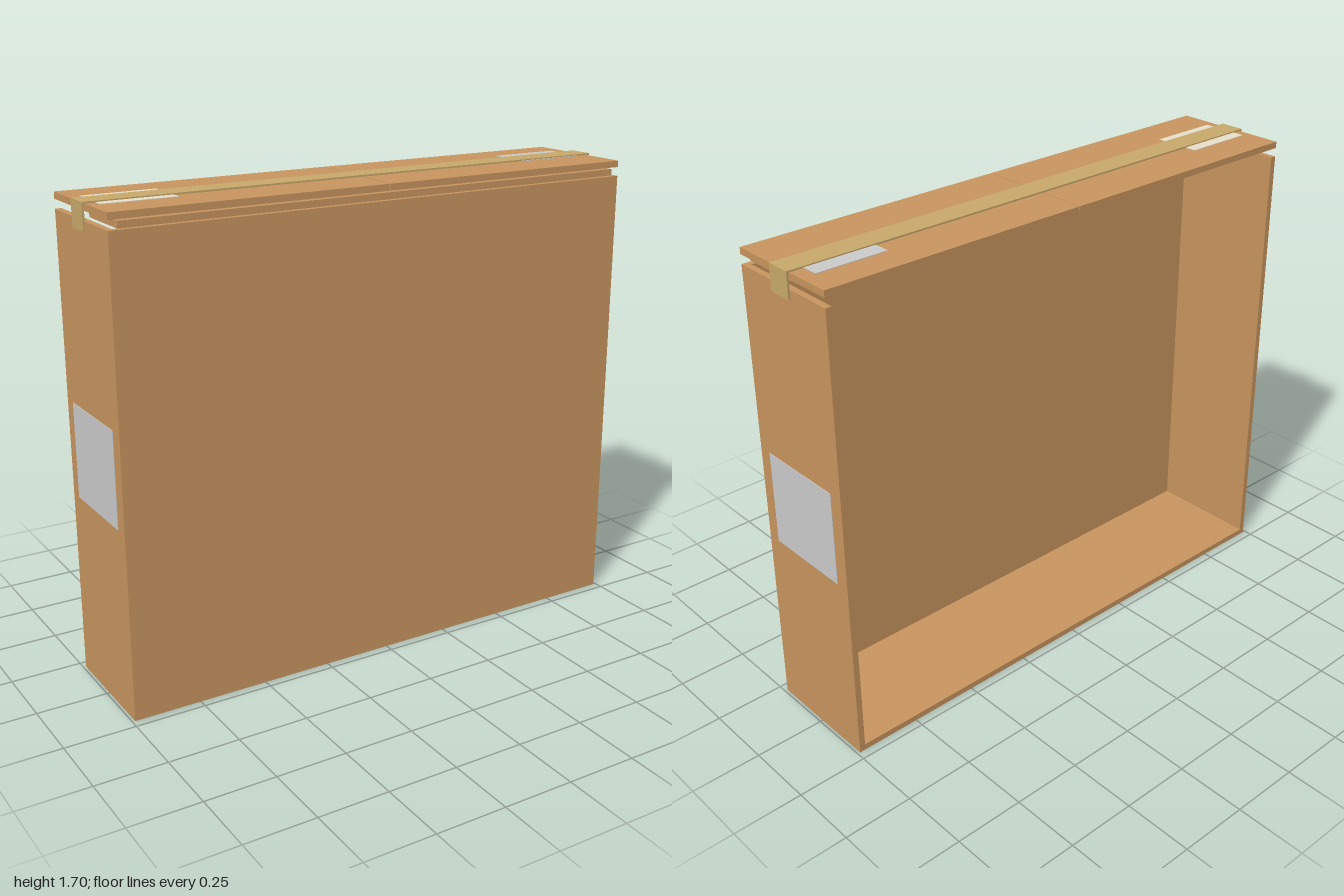
import * as THREE from 'three';

export function createModel() {
  const root = new THREE.Group();
  root.name = 'cardboardBox';

  const card = new THREE.MeshStandardMaterial({ color: 0xc8965f });
  const tape = new THREE.MeshStandardMaterial({ color: 0xc8a96a });
  const paper = new THREE.MeshStandardMaterial({ color: 0xe8e0cc });
  const grey = new THREE.MeshStandardMaterial({ color: 0xcccccc });

  // Box given by its min and max corners
  function slab(name, material, [x0, y0, z0], [x1, y1, z1], parent = root) {
    const mesh = new THREE.Mesh(new THREE.BoxGeometry(x1 - x0, y1 - y0, z1 - z0), material);
    mesh.position.set((x0 + x1) / 2, (y0 + y1) / 2, (z0 + z1) / 2);
    mesh.name = name;
    parent.add(mesh);
    return mesh;
  }

  const X = 0.99, Z = 0.218, T = 0.022, WALL = 1.635;
  const FLAP = 1.667, TOP = 1.69;

  // Carton body, open at the back
  slab('bottomPanel', card, [-X, 0, -Z], [X, T, Z]);
  slab('frontPanel', card, [-X, T, Z - T], [X, WALL, Z]);

  // Lower closing flap, covering the front half of the top
  slab('innerFlap', card, [-0.96, 1.639, 0], [0.96, 1.662, Z]);

  // Mirrored side parts
  for (const [side, s] of [['left', 1], ['right', -1]]) {
    const group = new THREE.Group();
    group.name = side + 'Side';
    root.add(group);
    const part = (name, material, a, b) => slab(side + name, material,
      [Math.min(s * a[0], s * b[0]), a[1], a[2]],
      [Math.max(s * a[0], s * b[0]), b[1], b[2]], group);
    part('SidePanel', card, [X - T, T, -Z], [X, WALL, Z - T]);
    part('OuterFlap', card, [0.002, FLAP, -Z], [X, TOP, Z]);
    part('SideLabel', grey, [X, 0.665, -0.167], [X + 0.002, 1.0, 0.167]);
    part('TapeEnd', tape, [X + 0.003, 1.605, -0.045], [1.0, 1.696, 0.045]);
  }

  // Labels on the top, partly under the tape
  slab('paperLabel', paper, [-0.955, TOP, -0.088], [-0.695, TOP + 0.002, 0.083]);
  slab('greyLabel', grey, [0.682, TOP, -0.105], [0.94, TOP + 0.002, 0.05]);

  // Sealing tape along the top
  slab('topTape', tape, [-X - 0.003, TOP, -0.045], [X + 0.003, 1.696, 0.045]);

  return root;
}
